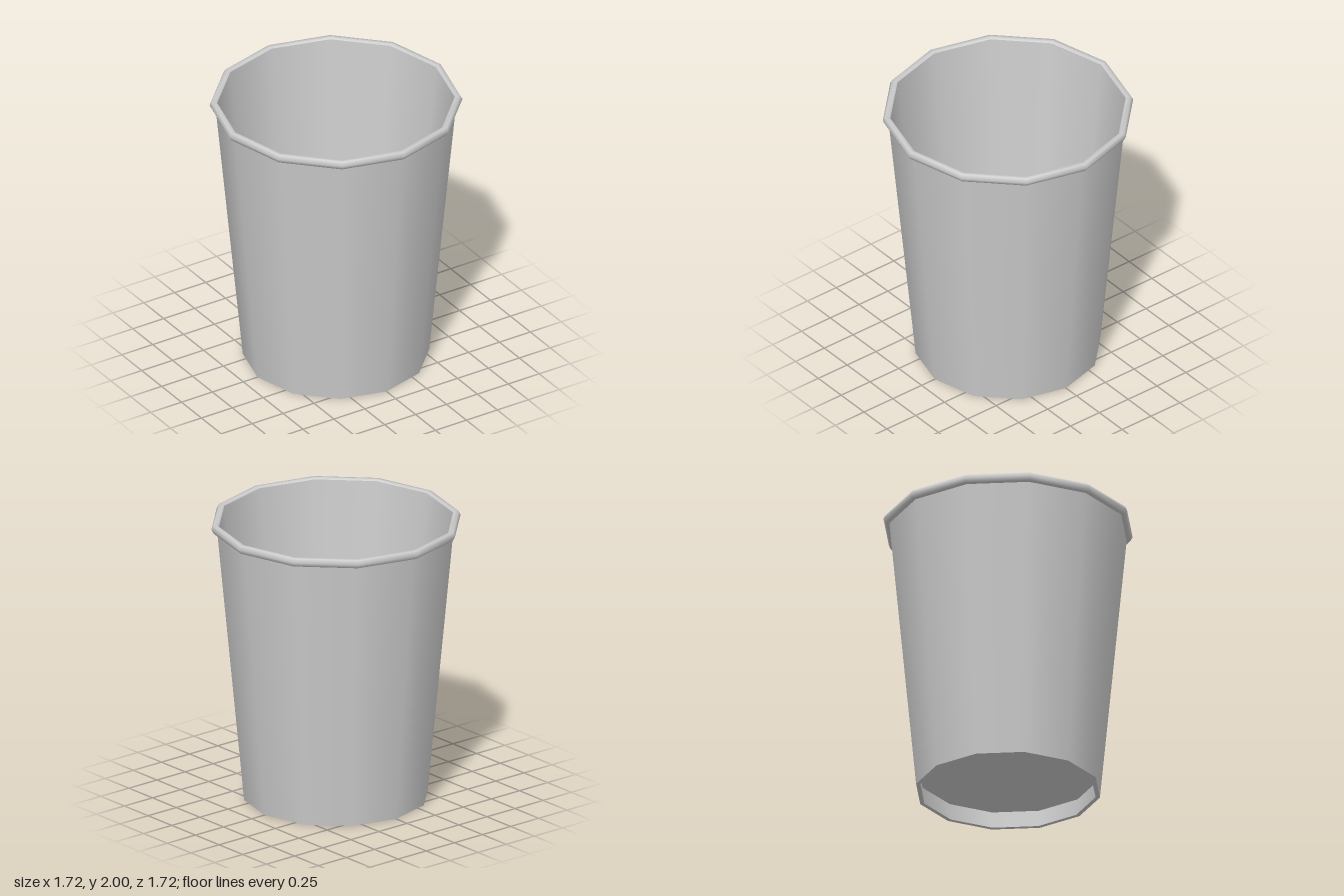
import * as THREE from 'three';

const SIDES = 12;

export function createModel() {
  const group = new THREE.Group();
  const material = new THREE.MeshStandardMaterial({ color: 0xcccccc });
  const thin = new THREE.MeshStandardMaterial({ color: 0xcccccc, side: THREE.DoubleSide });

  // Revolve a [radius, height] profile; upward profiles face outward
  function ring(name, profile) {
    const points = profile.map(([r, y]) => new THREE.Vector2(r, y));
    const mesh = new THREE.Mesh(new THREE.LatheGeometry(points, SIDES), material);
    mesh.name = name;
    group.add(mesh);
  }

  // Tapered wall with a thin lower edge
  ring('outerWall', [[0.635, 0], [0.82, 1.945]]);
  ring('innerWall', [[0.808, 1.99], [0.605, 0]]);
  ring('bottomEdge', [[0.605, 0], [0.635, 0]]);

  // Rolled lip
  ring('rim', [
    [0.818, 1.942], [0.846, 1.943], [0.861, 1.972],
    [0.847, 2], [0.82, 2], [0.808, 1.988],
  ]);

  // Floor set up inside the wall
  const floor = new THREE.Mesh(new THREE.CircleGeometry(0.617, SIDES), thin);
  floor.name = 'floor';
  floor.rotation.x = -Math.PI / 2;
  floor.position.y = 0.12;
  group.add(floor);

  return group;
}
